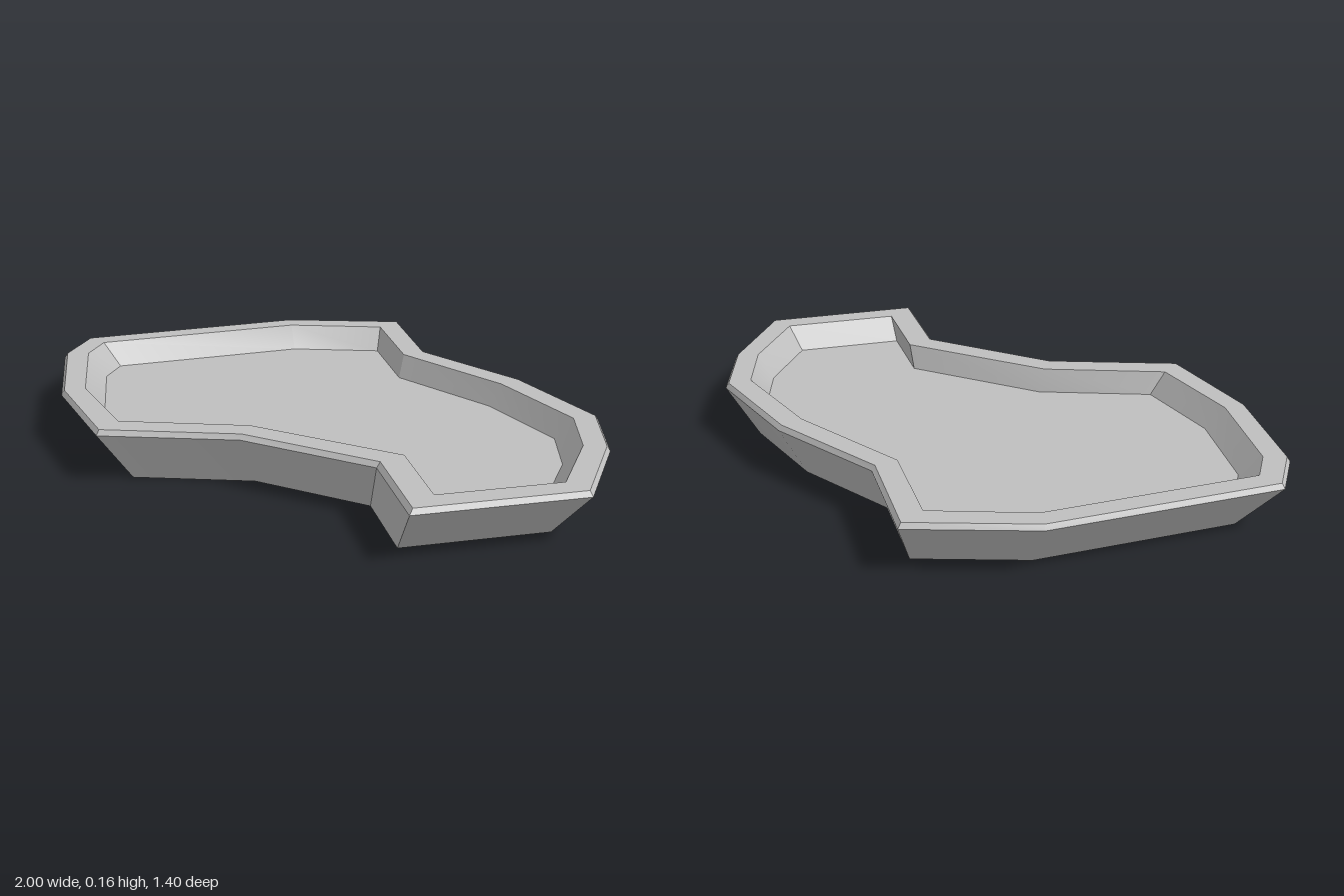
import * as THREE from 'three';
import { toCreasedNormals } from 'three/addons/utils/BufferGeometryUtils.js';

// Plan outlines as [x, z], clockwise from the left tip
const outer = [
  [-1, 0.135], [-0.64, -0.47], [-0.34, -0.705], [-0.055, -0.495], [0.34, -0.47],
  [0.7, -0.35], [0.86, -0.16], [1, 0.145], [0.72, 0.548], [0.455, 0.36],
  [0.035, 0.455], [-0.295, 0.7], [-0.64, 0.545], [-0.925, 0.3],
];
const inner = [
  [-0.917, 0.14], [-0.585, -0.42], [-0.34, -0.605], [-0.085, -0.42], [0.325, -0.39],
  [0.66, -0.28], [0.8, -0.115], [0.91, 0.137], [0.705, 0.43], [0.475, 0.267],
  [0, 0.38], [-0.31, 0.605], [-0.605, 0.48], [-0.865, 0.25],
];
const TOP = 0.16, LIP = 0.145, FLOOR = 0.09;

const scaled = (ring, s) => ring.map(([x, z]) => [x * s, z * s]);
const blend = (a, b, t) => a.map(([x, z], i) => [x + (b[i][0] - x) * t, z + (b[i][1] - z) * t]);

// Closed band of quads between two outlines at different heights
function band(a, ya, b, yb) {
  const pos = [];
  const n = a.length;
  for (let i = 0; i < n; i++) {
    const j = (i + 1) % n;
    const ai = [a[i][0], ya, a[i][1]], aj = [a[j][0], ya, a[j][1]];
    const bi = [b[i][0], yb, b[i][1]], bj = [b[j][0], yb, b[j][1]];
    pos.push(...ai, ...bi, ...bj, ...ai, ...bj, ...aj);
  }
  const geo = new THREE.BufferGeometry();
  geo.setAttribute('position', new THREE.Float32BufferAttribute(pos, 3));
  return toCreasedNormals(geo, THREE.MathUtils.degToRad(30));
}

// Flat cap filling an outline, facing up or down
function cap(ring, y, up) {
  const s = up ? -1 : 1;
  const shape = new THREE.Shape(ring.map(([x, z]) => new THREE.Vector2(x, s * z)));
  return new THREE.ShapeGeometry(shape).rotateX(s * Math.PI / 2).translate(0, y, 0);
}

export function createModel() {
  const group = new THREE.Group();
  group.name = 'basin';
  const grey = new THREE.MeshStandardMaterial({ color: 0xbfbfbf });
  grey.name = 'grey';

  const add = (name, geo) => {
    const mesh = new THREE.Mesh(geo, grey);
    mesh.name = name;
    group.add(mesh);
  };

  const base = scaled(outer, 0.865);
  const rimEdge = blend(outer, inner, 0.13);
  const floor = scaled(inner, 0.927);

  add('underside', cap(base, 0, false));
  add('outerWall', band(base, 0, outer, LIP));
  add('rimBevel', band(outer, LIP, rimEdge, TOP));
  add('rimTop', band(rimEdge, TOP, inner, TOP));
  add('innerWall', band(inner, TOP, floor, FLOOR));
  add('floor', cap(floor, FLOOR, true));
  return group;
}
